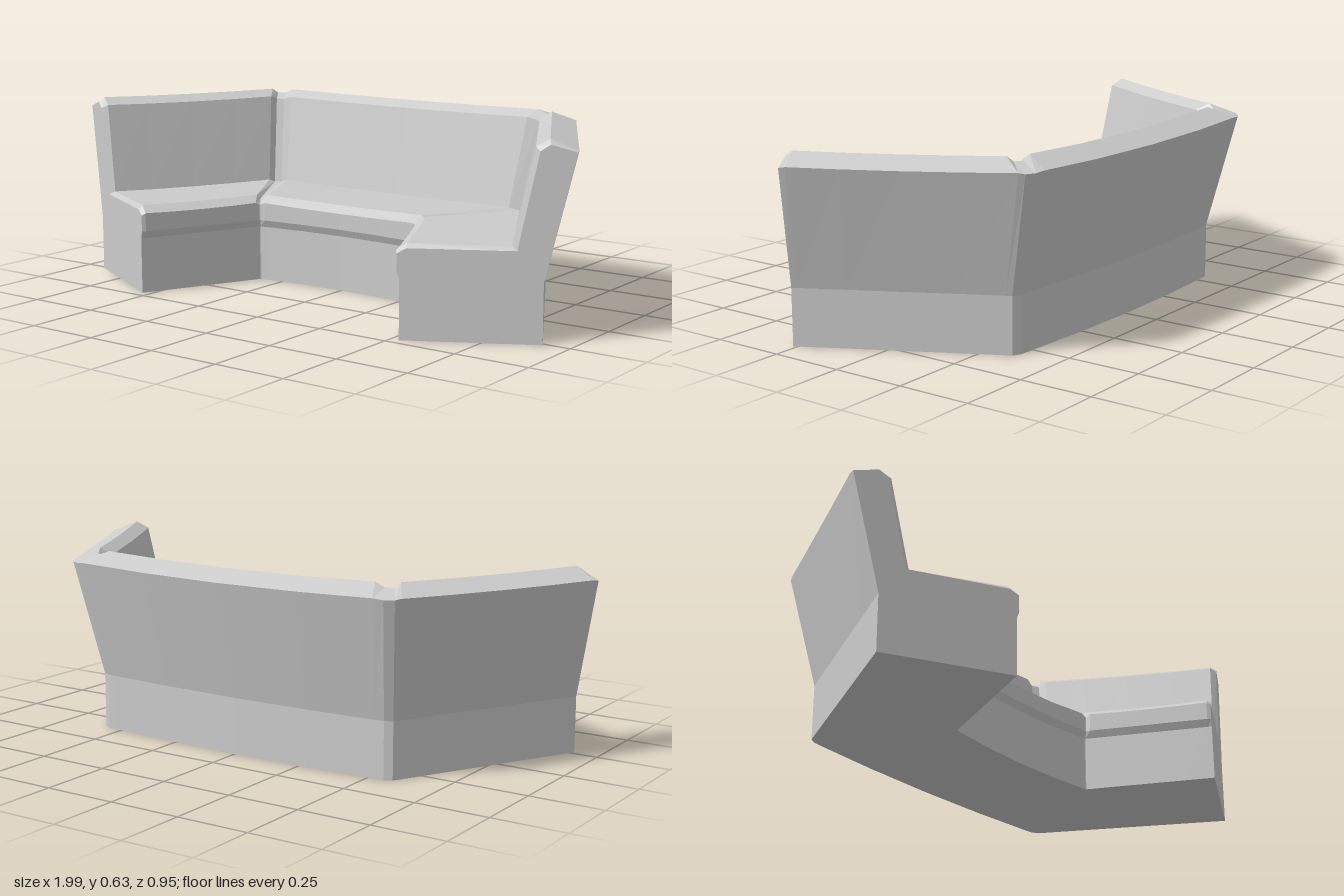
import * as THREE from 'three';

// Cross-section as [depth from the front, height]: up the front, over the seat and back, down the rear
const FULL = [
  [0, 0], [0, 0.19], [-0.012, 0.215], [-0.012, 0.278], [0.022, 0.301], [0.335, 0.298],
  [0.398, 0.602], [0.44, 0.626], [0.525, 0.592], [0.43, 0.19], [0.43, 0],
];
// Slightly tucked-in section for the chamfered ends and the seams
const TUCKED = [
  [0, 0], [0, 0.19], [-0.008, 0.215], [-0.008, 0.27], [0.022, 0.287], [0.35, 0.287],
  [0.412, 0.59], [0.442, 0.61], [0.522, 0.588], [0.43, 0.19], [0.43, 0],
];
const BACK = 0.525; // depth of the rearmost top edge

// Station: plan position of the seat front [x, z] and of the top rear edge [x, z]
const st = (fx, fz, bx, bz) => ({ f: [fx, fz], b: [bx, bz] });
const flip = (s) => st(-s.f[0], s.f[1], -s.b[0], s.b[1]);
const mix = (p, q, t) => [p[0] + (q[0] - p[0]) * t, p[1] + (q[1] - p[1]) * t];

const MITRE_MID = st(0.335, 0.065, 0.605, -0.452);
const MITRE_ARM = st(0.338, 0.067, 0.636, -0.436);
const ARM_END = st(0.53, 0.47, 0.998, 0.218);

// Sweep the section between two stations; bow pushes the middle backwards
function sweep(a, b, { bow = 0, dip = 0, tucked = false } = {}) {
  const ts = tucked ? [0, 1] : [0, 0.03, 0.25, 0.5, 0.75, 0.97, 1];
  const n = FULL.length;
  const pos = [];
  const idx = [];
  ts.forEach((t) => {
    const section = tucked || t === 0 || t === 1 ? TUCKED : FULL;
    const arc = 4 * t * (1 - t);
    const f = mix(a.f, b.f, t);
    const r = mix(a.b, b.b, t);
    section.forEach(([d, y]) => {
      const [x, z] = mix(f, r, d / BACK);
      pos.push(x, y - (y > 0.25 ? dip * arc : 0), z - bow * arc);
    });
  });
  for (let s = 0; s < ts.length - 1; s++) {
    for (let i = 0; i < n; i++) {
      const j = (i + 1) % n;
      const p = s * n + i, q = (s + 1) * n + i, u = (s + 1) * n + j, v = s * n + j;
      idx.push(p, q, u, p, u, v);
    }
  }
  // End caps
  const pts = TUCKED.map(([d, y]) => new THREE.Vector2(d, y));
  const last = (ts.length - 1) * n;
  for (const [i, j, k] of THREE.ShapeUtils.triangulateShape(pts, [])) {
    const ccw = pts[j].clone().sub(pts[i]).cross(pts[k].clone().sub(pts[i])) > 0;
    const [m, o] = ccw ? [j, k] : [k, j];
    idx.push(last + i, last + m, last + o, i, o, m);
  }
  const geo = new THREE.BufferGeometry();
  geo.setAttribute('position', new THREE.Float32BufferAttribute(pos, 3));
  geo.setIndex(idx);
  const flat = geo.toNonIndexed();
  flat.computeVertexNormals();
  return flat;
}

export function createModel() {
  const group = new THREE.Group();
  const material = new THREE.MeshStandardMaterial({ color: 0xcccccc, flatShading: true });
  const add = (name, geometry) => {
    const mesh = new THREE.Mesh(geometry, material);
    mesh.name = name;
    group.add(mesh);
  };

  // Gently curved middle bench
  add('middleSection', sweep(flip(MITRE_MID), MITRE_MID, { bow: 0.022, dip: 0.008 }));

  // Angled side benches
  add('leftSection', sweep(MITRE_ARM, ARM_END, { dip: 0.004 }));
  add('rightSection', sweep(flip(ARM_END), flip(MITRE_ARM), { dip: 0.004 }));

  // Recessed strips closing the corner joints
  add('leftSeam', sweep(MITRE_MID, MITRE_ARM, { tucked: true }));
  add('rightSeam', sweep(flip(MITRE_ARM), flip(MITRE_MID), { tucked: true }));

  return group;
}
